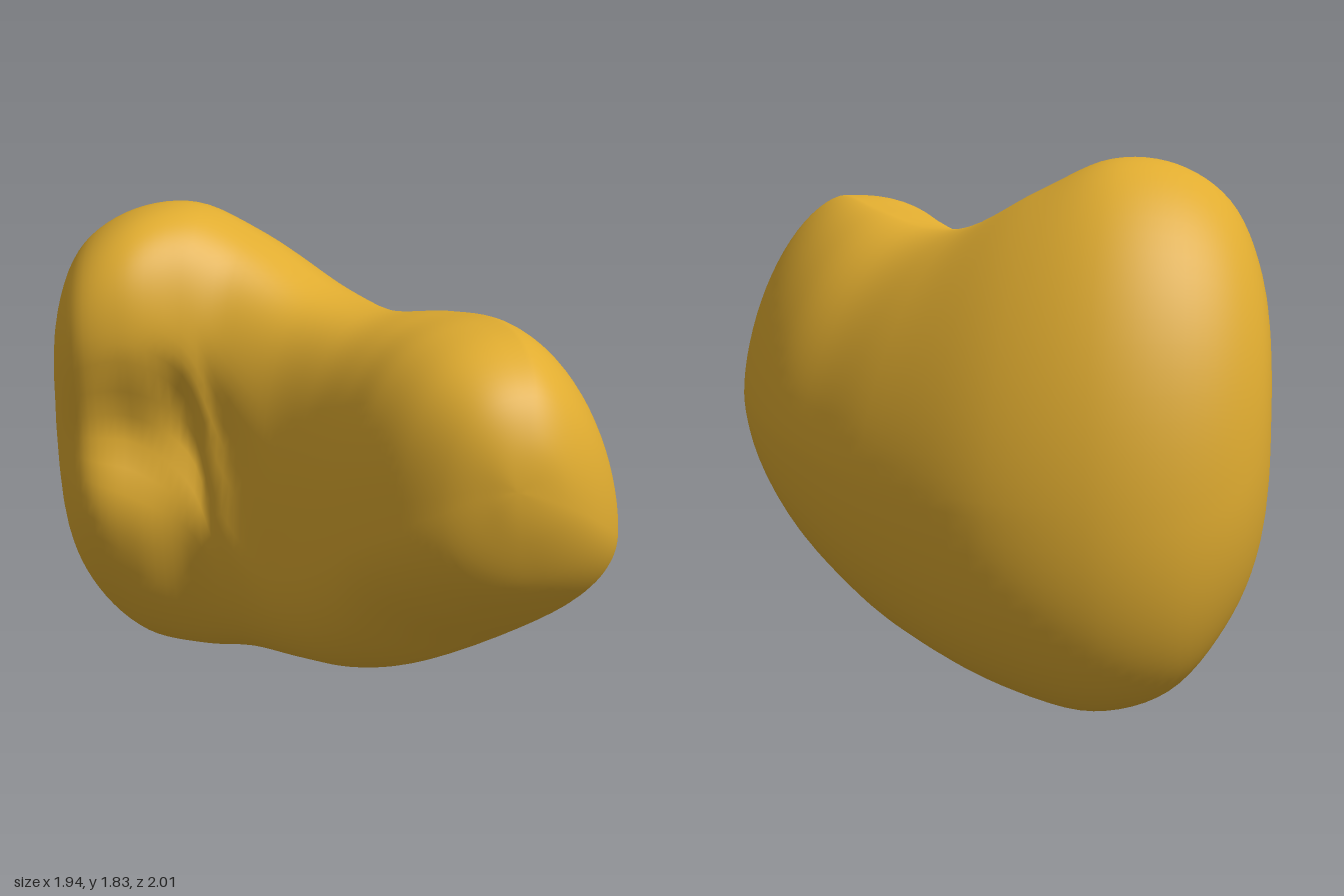
import * as THREE from 'three';

// Upright sections fanned along the bend, from the tall lobe to the raised tip.
// outer [x, z], inner [x, z], height of outer edge, height of inner edge, bottom y, top y,
// position of bottom and of crest (0 inner .. 1 outer), fullness of outer shoulder, depth of inner hollow
const SECTIONS = [
  [[-0.94, -0.72], [-0.94, -0.12], 0.92, 1.22, 0.54, 1.46, 0.55, 0.42, 2.0, 0.03],
  [[-0.82, -0.88], [-0.85, 0.02], 0.78, 1.33, 0.28, 1.69, 0.58, 0.38, 2.0, 0.06],
  [[-0.62, -0.98], [-0.68, 0.05], 0.70, 1.36, 0.07, 1.81, 0.60, 0.36, 2.0, 0.12],
  [[-0.35, -1.00], [-0.49, 0.03], 0.70, 1.20, 0.003, 1.83, 0.60, 0.36, 1.9, 0.11],
  [[0.02, -0.89], [-0.36, 0.08], 0.72, 0.80, 0.05, 1.73, 0.58, 0.38, 1.75, 0.04],
  [[0.40, -0.57], [-0.22, 0.21], 0.75, 0.66, 0.12, 1.59, 0.52, 0.40, 1.65, 0],
  [[0.62, -0.27], [-0.10, 0.37], 0.78, 0.72, 0.19, 1.56, 0.50, 0.42, 1.6, 0],
  [[0.80, 0.02], [0.00, 0.55], 0.82, 0.84, 0.31, 1.61, 0.52, 0.50, 1.6, 0],
  [[0.93, 0.35], [0.08, 0.70], 0.87, 0.95, 0.50, 1.65, 0.60, 0.54, 1.6, 0],
  [[0.97, 0.60], [0.20, 0.85], 0.92, 1.06, 0.68, 1.63, 0.60, 0.52, 1.65, 0],
  [[0.89, 0.81], [0.34, 0.95], 1.04, 1.15, 0.86, 1.54, 0.55, 0.50, 1.8, 0],
  [[0.74, 0.95], [0.46, 0.99], 1.17, 1.22, 1.06, 1.40, 0.50, 0.50, 2.0, 0],
];
const LEFT_POLE = new THREE.Vector3(-0.97, 1.05, -0.45);
const TIP_POLE = new THREE.Vector3(0.57, 1.24, 1.0);
const INNER_SHOULDER = 2.7;
const UNDERSIDE = 2.2;
const AROUND = 80;
const STEPS = 6;

const power = (value, p) => Math.sign(value) * Math.pow(Math.abs(value), 2 / p);

// Point on a section, built from four quarter ovals that meet at its extremes
function sectionPoint(section, j) {
  const [outer, inner, yOuter, yInner, bottom, top, fBottom, fTop, shoulder, hollow] = section;
  const angle = (j / AROUND) * Math.PI * 2;
  const isOuter = Math.cos(angle) >= 0, isUpper = Math.sin(angle) >= 0;
  const fullness = !isUpper ? UNDERSIDE : isOuter ? shoulder : INNER_SHOULDER;
  const c = power(Math.cos(angle), fullness), s = power(Math.sin(angle), fullness);

  const y0 = isOuter ? yOuter : yInner;
  const y = y0 + (isUpper ? top - y0 : y0 - bottom) * s;
  const f0 = isUpper ? fTop : fBottom;
  let f = f0 + (isOuter ? 1 - f0 : f0) * c;
  // Shallow hollow under the lobe's inner overhang
  if (!isOuter) f -= hollow * c * Math.exp(-(((y - 1.06) / 0.2) ** 2));

  return new THREE.Vector3(
    THREE.MathUtils.lerp(inner[0], outer[0], f), y,
    THREE.MathUtils.lerp(inner[1], outer[1], f));
}

function bodyGeometry() {
  const last = SECTIONS.length - 1;
  const spans = SECTIONS.length + 1;
  const rows = spans * STEPS;

  // One smooth line per angle, carried over both poles so the ends stay round
  const lines = [];
  for (let j = 0; j < AROUND; j++) {
    const opposite = (j + AROUND / 2) % AROUND;
    lines.push(new THREE.CatmullRomCurve3([
      sectionPoint(SECTIONS[0], opposite),
      LEFT_POLE,
      ...SECTIONS.map((section) => sectionPoint(section, j)),
      TIP_POLE,
      sectionPoint(SECTIONS[last], opposite),
    ]));
  }

  const positions = [...LEFT_POLE.toArray()];
  for (let i = 1; i < rows; i++) {
    for (const line of lines) {
      positions.push(...line.getPoint((1 + i / STEPS) / (spans + 2)).toArray());
    }
  }
  positions.push(...TIP_POLE.toArray());

  // Skin the rings and close both ends
  const tip = positions.length / 3 - 1;
  const at = (i, j) => 1 + (i - 1) * AROUND + (j % AROUND);
  const index = [];
  for (let j = 0; j < AROUND; j++) {
    index.push(0, at(1, j + 1), at(1, j));
    for (let i = 1; i < rows - 1; i++) {
      const a = at(i, j), b = at(i, j + 1), c = at(i + 1, j), d = at(i + 1, j + 1);
      index.push(a, b, c, b, d, c);
    }
    index.push(at(rows - 1, j), at(rows - 1, j + 1), tip);
  }

  const geometry = new THREE.BufferGeometry();
  geometry.setAttribute('position', new THREE.Float32BufferAttribute(positions, 3));
  geometry.setIndex(index);
  geometry.computeVertexNormals();
  return geometry;
}

export function createModel() {
  const group = new THREE.Group();
  group.name = 'curvedBean';
  const gold = new THREE.MeshStandardMaterial({ color: 0xe0ac30 });
  gold.name = 'golden yellow';
  const body = new THREE.Mesh(bodyGeometry(), gold);
  body.name = 'body';
  group.add(body);
  return group;
}
